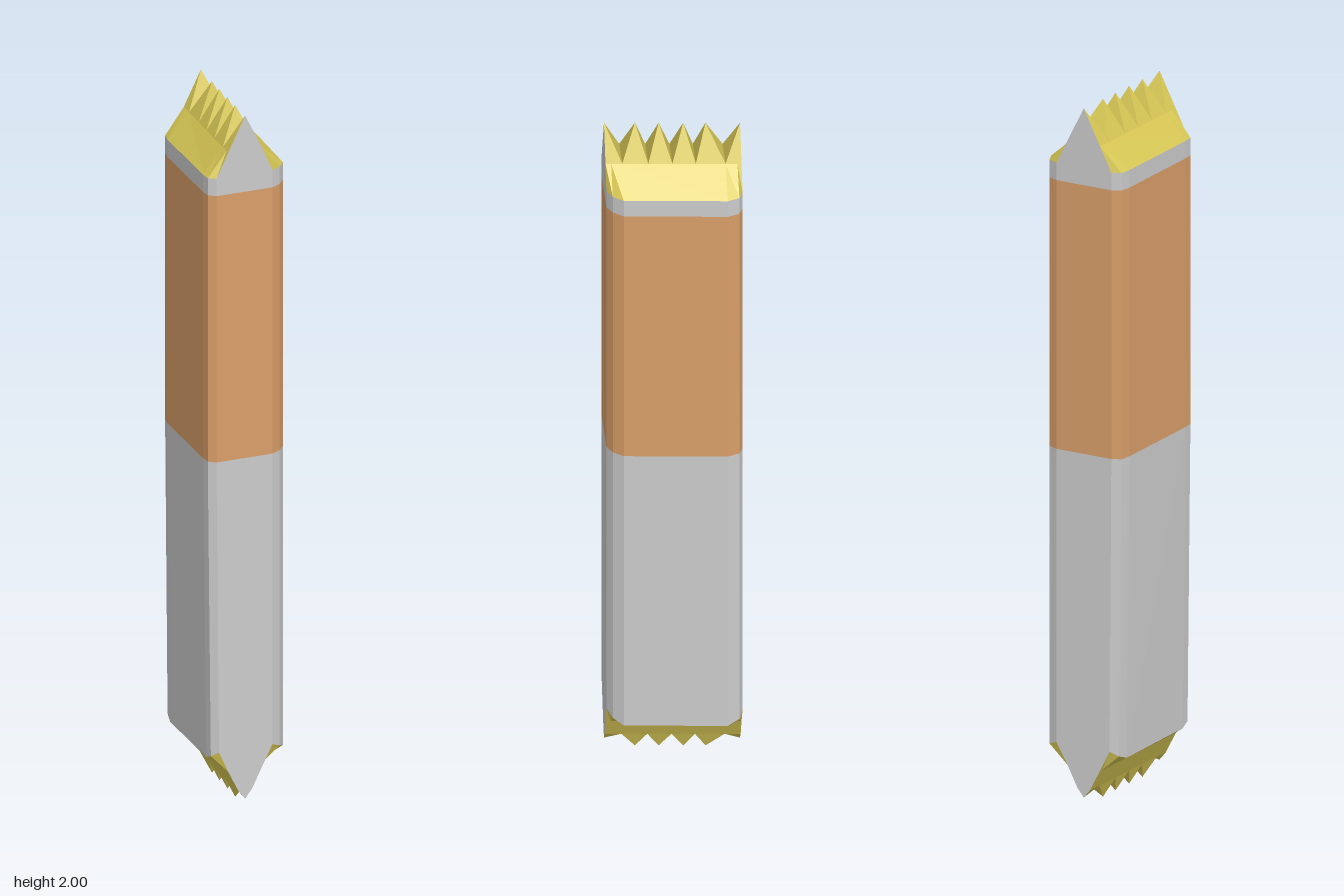
import * as THREE from 'three';

const GREY = 0xcccccc, ORANGE = 0xd99f69, GOLD = 0xd8c855;

// Slanted body outline: left and right edge x at each z station
const Z = [-0.183, -0.172, -0.14, 0.14, 0.168, 0.183];
const R = [0.09, 0.117, 0.13, 0.105, 0.083, 0.055];
const L = [-0.08, -0.105, -0.112, -0.13, -0.129, -0.11];
// Tooth stations, alternating tip and valley
const T = [-0.183, -0.14, -0.09, -0.06, -0.03, 0.003, 0.036, 0.068, 0.1, 0.138, 0.183];
const mid = (z) => -0.01 - 0.083 * z;

function mesh(name, geometry, color) {
  const m = new THREE.Mesh(geometry, new THREE.MeshStandardMaterial({
    color, flatShading: true, side: THREE.DoubleSide,
  }));
  m.name = name;
  return m;
}

// Surface through rows of points; diagonals alternate if asked
function grid(rows, alternate = false) {
  const pos = [];
  for (let i = 0; i < rows.length - 1; i++) {
    for (let j = 0; j < rows[i].length - 1; j++) {
      const a = rows[i][j], b = rows[i][j + 1], c = rows[i + 1][j], d = rows[i + 1][j + 1];
      const tris = alternate && (i + j) % 2 ? [a, c, d, a, d, b] : [a, c, b, b, c, d];
      pos.push(...tris.flat());
    }
  }
  const g = new THREE.BufferGeometry();
  g.setAttribute('position', new THREE.Float32BufferAttribute(pos, 3));
  g.computeVertexNormals();
  return g;
}

// Lower hem rises at the corners and narrows slightly on the left
const hemY = (k) => [0.17, 0.157, 0.145, 0.145, 0.157, 0.17][k];
const hemL = (k) => L[k] * 0.93;

// Closed ring around the body
function ring(y, left = (k) => L[k]) {
  const h = (k) => (typeof y === 'function' ? y(k) : y);
  const right = Z.map((z, k) => [R[k], h(k), z]);
  const back = Z.map((z, k) => [left(k), h(k), z]).reverse();
  return [...right, ...back, right[0]];
}

function endPanel(name, points, z) {
  const g = new THREE.ShapeGeometry(new THREE.Shape(points.map((p) => new THREE.Vector2(...p))));
  g.translate(0, 0, z);
  if (z < 0) {
    const ix = g.index.array;
    for (let i = 0; i < ix.length; i += 3) [ix[i], ix[i + 1]] = [ix[i + 1], ix[i]];
    g.computeVertexNormals();
  }
  return mesh(name, g, GREY);
}

export function createModel() {
  const model = new THREE.Group();

  // Wrapped body in three colour bands
  model.add(mesh('lowerBody', grid([ring(hemY, hemL), ring(1.01)]), GREY));
  model.add(mesh('middleBand', grid([ring(1.01), ring(1.78)]), ORANGE));
  model.add(mesh('upperBand', grid([ring(1.78), ring(1.83)]), GREY));

  // Top fold: sloping shoulders and a serrated crest
  model.add(mesh('topLeftShoulder', grid(Z.map((z, k) =>
    [[mid(z) + 0.05, 1.9, z], [R[k], 1.83, z]])), GOLD));
  model.add(mesh('topRightShoulder', grid(Z.map((z, k) =>
    [[L[k], 1.83, z], [mid(z) - 0.05, 1.9, z]])), GOLD));
  model.add(mesh('topTeeth', grid(T.map((z, i) => [
    [mid(z) - 0.05, 1.9, z], [mid(z), i % 2 ? 1.9 : 2, z], [mid(z) + 0.05, 1.9, z],
  ]), true), GOLD));

  // Bottom fold: shoulders, narrow neck and serrated edge
  for (const s of [1, -1]) {
    const rows = Z.map((z, k) => {
      const row = [
        [s > 0 ? R[k] : hemL(k), hemY(k), z],
        [mid(z) + s * 0.05, 0.11, z],
        [mid(z) + s * 0.02, 0.05, z],
      ];
      return s > 0 ? row : row.reverse();
    });
    model.add(mesh(s > 0 ? 'bottomLeftShoulder' : 'bottomRightShoulder', grid(rows), GOLD));
  }
  model.add(mesh('bottomTeeth', grid(T.map((z, i) => {
    const tip = i === 0 || i === T.length - 1 ? 0.025 : 0;
    return [
      [mid(z) + 0.02, 0.05, z], [mid(z), i % 2 ? 0.05 : tip, z], [mid(z) - 0.02, 0.05, z],
    ];
  }), true), GOLD));

  // Flat end panels closing the folds
  for (const k of [0, Z.length - 1]) {
    const z = Z[k], c = mid(z), side = z > 0 ? 'front' : 'back';
    model.add(endPanel(side + 'TopPanel', [
      [L[k], 1.83], [R[k], 1.83], [c + 0.05, 1.9], [c, 2], [c - 0.05, 1.9],
    ], z));
    model.add(endPanel(side + 'BottomPanel', [
      [hemL(k), hemY(k)], [c - 0.05, 0.11], [c - 0.02, 0.05], [c, 0.025],
      [c + 0.02, 0.05], [c + 0.05, 0.11], [R[k], hemY(k)],
    ], z));
  }
  return model;
}
